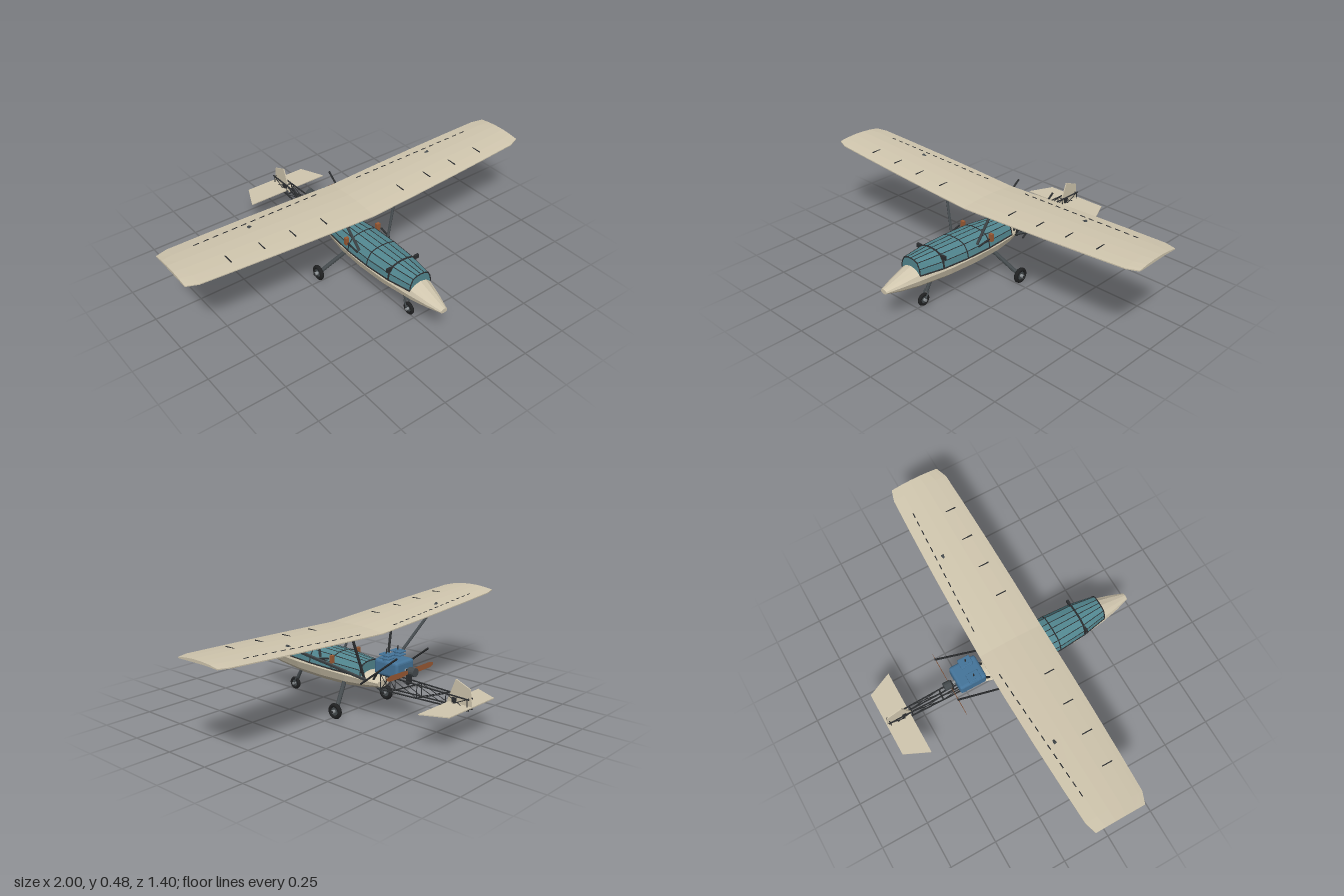
import * as THREE from 'three';
import { RoundedBoxGeometry } from 'three/addons/geometries/RoundedBoxGeometry.js';

const mat = (color, extra = {}) => new THREE.MeshStandardMaterial({ color, flatShading: true, ...extra });
const M = {
  skin: mat(0xd0c6ae), sheet: mat(0xd0c6ae, { side: THREE.DoubleSide }), glass: mat(0x528790),
  engine: mat(0x44749a), dark: mat(0x2b2d2f), strut: mat(0x454b4e), metal: mat(0x8b9093),
  wood: mat(0x9a5a34, { side: THREE.DoubleSide }),
};
const V = (x, y, z) => new THREE.Vector3(x, y, z);

function add(parent, name, geo, material, x = 0, y = 0, z = 0) {
  const m = new THREE.Mesh(geo, material);
  m.name = name;
  m.position.set(x, y, z);
  parent.add(m);
  return m;
}
const box = (p, name, w, h, d, material, x, y, z) => add(p, name, new THREE.BoxGeometry(w, h, d), material, x, y, z);

// Round bar between two points
function rod(parent, name, a, b, r, material = M.dark, sides = 6) {
  const d = b.clone().sub(a);
  const m = add(parent, name, new THREE.CylinderGeometry(r, r, d.length(), sides), material);
  m.position.copy(a).add(b).multiplyScalar(0.5);
  m.quaternion.setFromUnitVectors(V(0, 1, 0), d.normalize());
  return m;
}
// Skin stretched over closed rings of points, both ends capped
function loft(rings) {
  const n = rings[0].length, pos = [], idx = [];
  rings.forEach(r => r.forEach(p => pos.push(p.x, p.y, p.z)));
  for (let i = 0; i < rings.length - 1; i++) for (let j = 0; j < n; j++) {
    const a = i * n + j, b = i * n + (j + 1) % n, c = a + n, d = b + n;
    idx.push(a, c, b, b, c, d);
  }
  const e = (rings.length - 1) * n;
  for (let j = 1; j < n - 1; j++) idx.push(0, j, j + 1, e, e + j + 1, e + j);
  const g = new THREE.BufferGeometry();
  g.setAttribute('position', new THREE.Float32BufferAttribute(pos, 3));
  g.setIndex(idx);
  g.computeVertexNormals();
  return g;
}

// Wing surface: dihedral plus a thin cambered section
const wingBase = x => 0.422 + 0.046 * Math.abs(x);
const wingEdges = x => {
  const a = Math.abs(x), tip = Math.max(0, a - 0.94) / 0.06;
  return [0.18 - 0.02 * a * a - 0.02 * tip, -0.16 + 0.025 * a * a + 0.015 * tip];
};
function wingPoint(x, t, upper) {
  const [f, r] = wingEdges(x), c = 4 * t * (1 - t);
  return V(x, wingBase(x) + (upper ? 0.003 + 0.012 * c : -0.002 + 0.004 * c), r + (f - r) * t);
}
const wingTop = (x, z) => {
  const [f, r] = wingEdges(x);
  return wingPoint(x, (z - r) / (f - r), true).y;
};

function makeWing(g) {
  const wing = new THREE.Group();
  wing.name = 'wing';
  g.add(wing);
  const ts = [0, 0.2, 0.4, 0.6, 0.8, 0.93, 1];
  const xs = [1, 0.94, 0.75, 0.5, 0.25, 0, -0.25, -0.5, -0.75, -0.94, -1];
  add(wing, 'wingSkin', loft(xs.map(x => [
    ...ts.map(t => wingPoint(x, t, true)), ...[...ts].reverse().map(t => wingPoint(x, t, false))])), M.skin);
  for (const s of [-1, 1]) {
    // Rib marks and aileron gap
    for (const x of [0.235, 0.41, 0.58, 0.755])
      box(wing, 'ribMark', 0.005, 0.004, 0.055, M.dark, s * x, wingTop(x, 0.09), 0.09);
    for (let i = 0; i < 14; i++) {
      const x = 0.14 + i * 0.052, z = -0.122 + 0.035 * i / 13;
      box(wing, 'aileronGap', 0.028, 0.002, 0.005, M.dark, s * x, wingTop(x, z) + 0.0005, z).rotation.y = -s * 0.05;
    }
    // Lift struts and cabane struts
    rod(wing, 'liftStrut', V(s * 0.085, 0.2, -0.115), V(s * 0.555, 0.462, -0.065), 0.008, M.strut);
    rod(wing, 'frontCabane', V(s * 0.09, 0.26, 0.18), V(s * 0.15, 0.43, 0.15), 0.007, M.strut);
    rod(wing, 'rearCabane', V(s * 0.08, 0.19, -0.115), V(s * 0.15, 0.43, -0.09), 0.007, M.dark);
    rod(wing, 'rearBrace', V(s * 0.118, 0.185, -0.12), V(s * 0.118, 0.36, -0.348), 0.005, M.dark);
  }
}

function makeFuselage(g) {
  // z, half width, top, shoulder, bottom
  const secs = [[0.7, 0.02, 0.198, 0.185, 0.174], [0.62, 0.046, 0.222, 0.193, 0.155], [0.53, 0.068, 0.25, 0.198, 0.14],
    [0.35, 0.093, 0.25, 0.2, 0.124], [0.18, 0.1, 0.25, 0.2, 0.118], [0.02, 0.092, 0.24, 0.196, 0.122],
    [-0.09, 0.072, 0.222, 0.188, 0.135], [-0.165, 0.045, 0.188, 0.178, 0.15]];
  add(g, 'fuselage', loft(secs.map(([z, w, top, mid, bot]) => Array.from({ length: 12 }, (_, i) => {
    const a = i * Math.PI / 6, s = Math.sin(a);
    return V(w * Math.cos(a), mid + s * (s > 0 ? top - mid : mid - bot), z);
  }))), M.skin);

  // Glazed canopy with hoops and stringers
  const canopy = new THREE.Group();
  canopy.name = 'canopy';
  g.add(canopy);
  const half = [[1, 0], [0.93, 0.45], [0.7, 0.85], [0.33, 0.98]];
  const arc = [...half, [0, 1], ...half.map(([x, y]) => [-x, y]).reverse()];
  const bays = [[0.53, 0.064, 0.222, 0.293], [0.4, 0.088, 0.217, 0.295], [0.25, 0.099, 0.214, 0.292],
    [0.1, 0.098, 0.211, 0.287], [-0.08, 0.08, 0.206, 0.272]];
  const rings = bays.map(([z, w, b, t]) => arc.map(([x, y]) => V(x * w, b + y * (t - b), z)));
  add(canopy, 'glazing', loft(rings), M.glass);
  rings.forEach((r, i) => {
    for (let j = 0; j < 8; j++) rod(canopy, 'hoop', r[j], r[j + 1], i === 1 ? 0.005 : 0.003);
    if (i < 4) r.forEach((p, j) => rod(canopy, 'stringer', p, rings[i + 1][j], j % 8 ? 0.002 : 0.004));
  });
  // Side latches and mirrors
  for (const s of [-1, 1]) {
    box(canopy, 'latch', 0.02, 0.04, 0.016, M.wood, s * 0.098, 0.265, 0.09);
    rod(canopy, 'handle', V(s * 0.1, 0.25, 0.18), V(s * 0.104, 0.265, 0.11), 0.005);
    box(canopy, 'mirror', 0.026, 0.02, 0.012, M.dark, s * 0.085, 0.275, 0.4);
  }
}

function makeWheel(parent, name, x, y, z, r) {
  const w = new THREE.Group();
  w.name = name;
  w.position.set(x, y, z);
  w.rotation.y = Math.PI / 2;
  parent.add(w);
  add(w, 'tyre', new THREE.TorusGeometry(r * 0.74, r * 0.27, 8, 20), mat(0x202122, { flatShading: false }));
  add(w, 'rim', new THREE.CylinderGeometry(r * 0.55, r * 0.55, r * 0.25, 14), M.strut).rotation.x = Math.PI / 2;
  add(w, 'hub', new THREE.CylinderGeometry(r * 0.22, r * 0.22, r * 1.1, 10), M.metal).rotation.x = Math.PI / 2;
}
function makeGear(g) {
  makeWheel(g, 'noseWheel', 0, 0.034, 0.46, 0.034);
  rod(g, 'noseLeg', V(0, 0.07, 0.44), V(0, 0.14, 0.4), 0.009, M.strut, 8);
  for (const s of [-1, 1]) {
    rod(g, 'noseFork', V(s * 0.013, 0.034, 0.46), V(s * 0.013, 0.078, 0.436), 0.004, M.strut);
    makeWheel(g, 'mainWheel', s * 0.195, 0.041, -0.02, 0.041);
    rod(g, 'mainLeg', V(s * 0.18, 0.048, -0.016), V(s * 0.055, 0.16, 0.042), 0.011, M.strut, 8);
    rod(g, 'axle', V(s * 0.165, 0.041, -0.02), V(s * 0.222, 0.041, -0.02), 0.007, M.dark, 8);
  }
}

function makeEngine(g) {
  const e = new THREE.Group();
  e.name = 'engine';
  g.add(e);
  add(e, 'crankcase', new RoundedBoxGeometry(0.132, 0.08, 0.146, 2, 0.014), M.engine, 0, 0.275, -0.233);
  for (const s of [-1, 1]) {
    add(e, 'cylinderHead', new THREE.CylinderGeometry(0.018, 0.021, 0.036, 12), M.engine, s * 0.043, 0.328, -0.222);
    for (let i = 0; i < 2; i++)
      add(e, 'coolingFin', new RoundedBoxGeometry(0.048, 0.008, 0.064, 1, 0.003), M.engine, s * 0.043, 0.324 + i * 0.016, -0.222);
    add(e, 'sparkPlug', new THREE.CylinderGeometry(0.003, 0.004, 0.025, 6), M.dark, s * 0.043, 0.356, -0.22);
    rod(e, 'engineMount', V(s * 0.045, 0.245, -0.17), V(s * 0.04, 0.185, -0.13), 0.006);
    // Thin tapered propeller blade
    const blade = new THREE.Shape([[0.01, -0.008], [0.07, -0.016], [0.155, -0.014], [0.178, -0.004], [0.178, 0.006],
      [0.15, 0.014], [0.06, 0.013], [0.01, 0.008]].map(([x, y]) => new THREE.Vector2(s * x, y)));
    add(e, 'propellerBlade', new THREE.ShapeGeometry(blade), M.wood, 0, 0.268, -0.336);
  }
  rod(e, 'driveShaft', V(0, 0.268, -0.3), V(0, 0.268, -0.34), 0.009, M.metal, 10);
  rod(e, 'propellerHub', V(0, 0.268, -0.33), V(0, 0.268, -0.367), 0.022, M.strut, 14);
  box(e, 'hubBracket', 0.03, 0.078, 0.012, M.dark, 0, 0.241, -0.327);
}

function makeTail(g) {
  const t = new THREE.Group();
  t.name = 'tail';
  g.add(t);
  // Lattice boom: four rails with crossed bracing
  const zs = [-0.165, -0.225, -0.39, -0.56, -0.68];
  const node = (s, up, z) => {
    const k = (z + 0.165) / -0.515;
    return V(s * (0.021 - 0.006 * k), up ? 0.222 - 0.012 * k : 0.143 + 0.014 * k, z);
  };
  for (const s of [-1, 1]) {
    for (const up of [0, 1]) rod(t, 'boomRail', node(s, up, zs[0]), node(s, up, -0.69), 0.004);
    zs.forEach((z, i) => {
      rod(t, 'boomPost', node(s, 0, z), node(s, 1, z), 0.0025);
      if (i < 4) for (const up of [0, 1]) rod(t, 'boomBrace', node(s, up, z), node(s, 1 - up, zs[i + 1]), 0.002);
    });
  }
  for (const z of zs) for (const up of [0, 1]) rod(t, 'boomTie', node(-1, up, z), node(1, up, z), 0.0025);
  box(t, 'tailClamp', 0.02, 0.03, 0.022, M.dark, 0, 0.185, -0.6);

  // Tailplane and fin
  const plane = (pts, depth) => new THREE.ExtrudeGeometry(
    new THREE.Shape(pts.map(p => new THREE.Vector2(...p))), { depth, bevelEnabled: false });
  add(t, 'tailplane', plane([[-0.235, -0.57], [0.235, -0.57], [0.175, -0.7], [-0.175, -0.7]], 0.005), M.sheet, 0, 0.174, 0)
    .rotation.x = Math.PI / 2;
  add(t, 'fin', plane([[0.555, 0.167], [0.604, 0.29], [0.686, 0.257], [0.697, 0.167]], 0.006), M.sheet, -0.003, 0, 0)
    .rotation.y = Math.PI / 2;
}

export function createModel() {
  const g = new THREE.Group();
  g.name = 'ultralightAircraft';
  makeFuselage(g);
  makeWing(g);
  makeGear(g);
  makeEngine(g);
  makeTail(g);
  return g;
}
